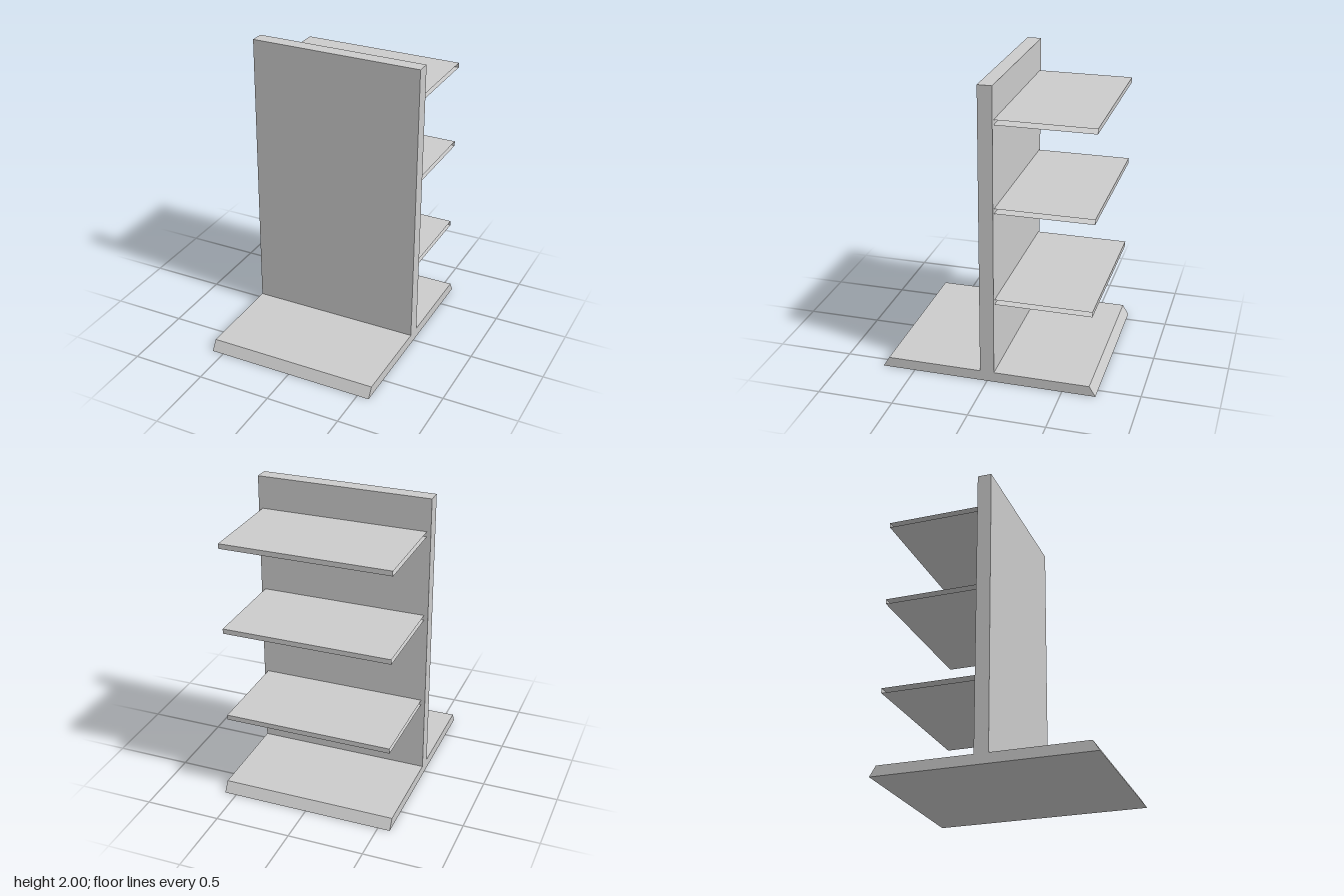
import * as THREE from 'three';

const HALF_WIDTH = 0.58;
const WALL = 0.047;       // half thickness of the upright panel
const FOOT_TOP = 0.068;   // height of the foot plate

export function createModel() {
  const group = new THREE.Group();
  const material = new THREE.MeshStandardMaterial({ color: 0xcccccc, flatShading: true });
  const sheetMaterial = new THREE.MeshStandardMaterial({
    color: 0xcccccc, flatShading: true, side: THREE.DoubleSide,
  });

  // Upright panel and bevelled foot: one inverted T profile, extruded across the width
  const half = [[0.72, 0], [0.678, FOOT_TOP], [WALL, FOOT_TOP], [WALL, 2]];
  const mirrored = half.map(([z, y]) => [-z, y]).reverse();
  const profile = new THREE.Shape([...half, ...mirrored].map(([z, y]) => new THREE.Vector2(z, y)));
  const standGeometry = new THREE.ExtrudeGeometry(profile, { depth: 2 * HALF_WIDTH, bevelEnabled: false });
  standGeometry.translate(0, 0, -HALF_WIDTH).rotateY(Math.PI / 2);
  const stand = new THREE.Mesh(standGeometry, material);
  stand.name = 'panelAndFoot';
  group.add(stand);

  // Shelves on the back: folded sheets (top, rear lip, underside) with open ends
  const width = 1.11, zRear = -0.68, thickness = 0.033;
  const depth = -WALL - zRear;
  const zMid = (-WALL + zRear) / 2;

  function addSheet(shelf, name, height, rotX, rotY, y, z) {
    const geometry = new THREE.PlaneGeometry(width, height).rotateX(rotX).rotateY(rotY);
    const sheet = new THREE.Mesh(geometry, sheetMaterial);
    sheet.name = name;
    sheet.position.set(0, y, z);
    shelf.add(sheet);
  }

  [0.585, 1.21, 1.783].forEach((top, i) => {
    const shelf = new THREE.Group();
    shelf.name = `shelf${i + 1}`;
    shelf.position.y = top;
    addSheet(shelf, 'shelfTop', depth, -Math.PI / 2, 0, 0, zMid);
    addSheet(shelf, 'shelfUnderside', depth, Math.PI / 2, 0, -thickness, zMid);
    addSheet(shelf, 'shelfLip', thickness, 0, Math.PI, -thickness / 2, zRear);
    group.add(shelf);
  });

  return group;
}
